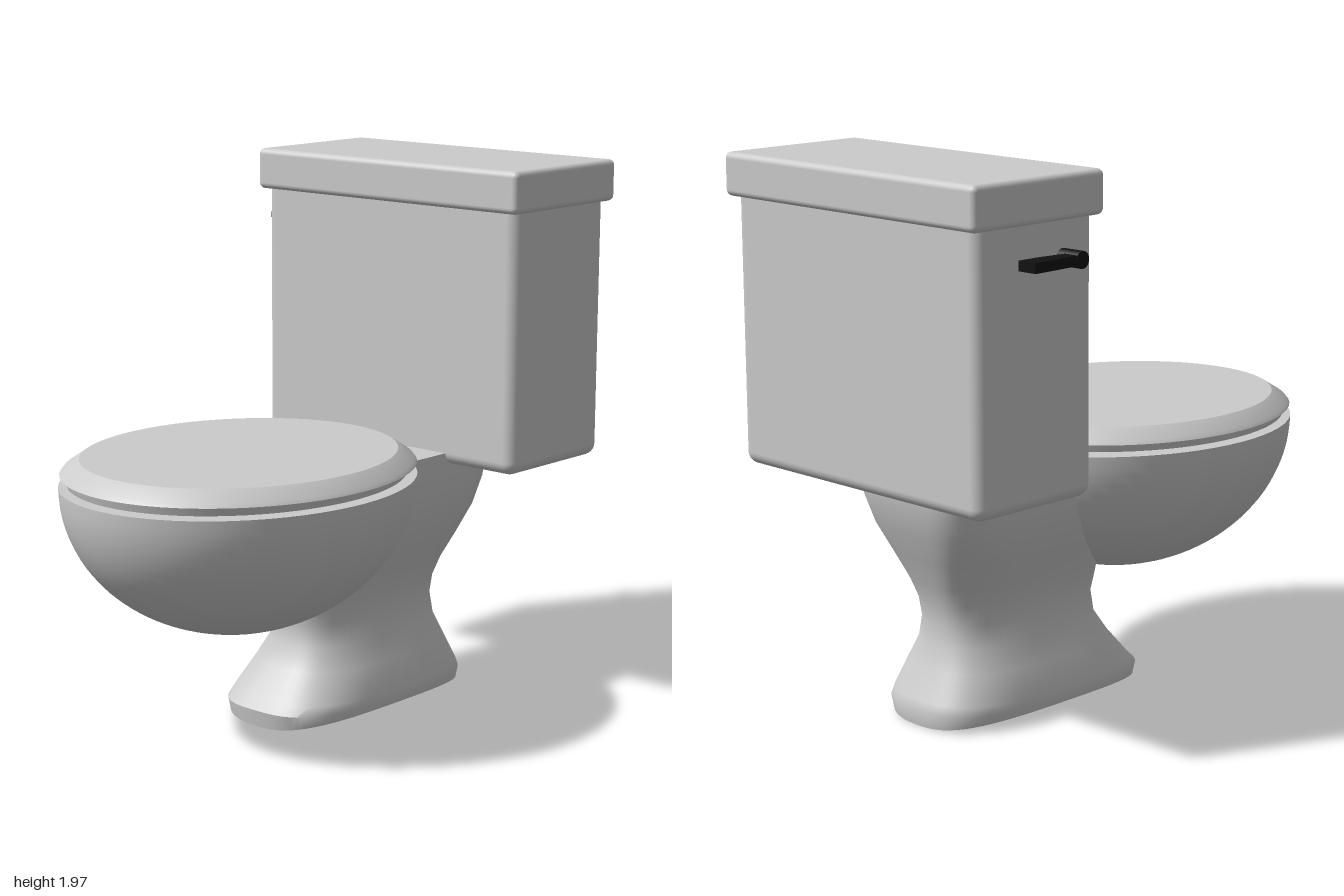
import * as THREE from 'three';
import { toCreasedNormals } from 'three/addons/utils/BufferGeometryUtils.js';
import { RoundedBoxGeometry } from 'three/addons/geometries/RoundedBoxGeometry.js';

const CX = 0.037; // the china is set slightly off centre because of the lever
const china = new THREE.MeshStandardMaterial({ color: 0xcccccc });
const black = new THREE.MeshStandardMaterial({ color: 0x111111 });

function part(name, geometry, material, x = 0, y = 0, z = 0) {
  const mesh = new THREE.Mesh(geometry, material);
  mesh.name = name;
  mesh.position.set(x, y, z);
  return mesh;
}

// Oval solid turned from a unit profile of [radius, y], stretched in x and z
function oval(profile, rx, rz) {
  const pts = profile.map(([r, y]) => new THREE.Vector2(r, y));
  const g = new THREE.LatheGeometry(pts, 64);
  g.scale(rx, 1, rz);
  return toCreasedNormals(g, 0.5);
}

// Pedestal lofted through superellipse sections
function pedestalGeometry() {
  // y, half width, front z, back z, squareness
  const levels = [
    [0.07, 0.275, 0.26, -0.715, 3],
    [0.10, 0.272, 0.225, -0.70, 3],
    [0.20, 0.235, 0.14, -0.655, 2.8],
    [0.28, 0.197, 0.09, -0.623, 2.7],
    [0.36, 0.18, 0.083, -0.615, 2.7],
    [0.43, 0.186, 0.10, -0.625, 2.8],
    [0.50, 0.205, 0.10, -0.65, 3],
    [0.60, 0.245, 0.08, -0.69, 3.5],
    [0.70, 0.277, 0.05, -0.735, 4],
    [0.80, 0.29, 0.02, -0.765, 4.5],
    [0.88, 0.29, 0, -0.775, 5],
    [0.934, 0.288, 0, -0.77, 5],
  ];
  const N = 64, pos = [], idx = [];
  const ring = ([y, w, f, b, e], scale = 1, underside = false) => {
    for (let j = 0; j < N; j++) {
      const t = (j / N) * Math.PI * 2, c = Math.cos(t), s = Math.sin(t);
      const u = Math.sign(c) * Math.abs(c) ** (2 / e) * scale;
      const v = Math.sign(s) * Math.abs(s) ** (2 / e) * scale;
      // the underside is gently bowed across its width
      pos.push(u * w, underside ? 0.008 + 0.04 * u * u : y, (f + b) / 2 + v * (f - b) / 2);
    }
  };
  for (const s of [0.01, 0.35, 0.7, 0.98]) ring(levels[0], s, true);
  levels.forEach((l) => ring(l));
  ring(levels[levels.length - 1], 0.01);
  const rows = pos.length / 3 / N;
  for (let i = 0; i < rows - 1; i++) {
    for (let j = 0; j < N; j++) {
      const k = (j + 1) % N;
      const a = i * N + j, b = i * N + k, c = a + N, d = b + N;
      idx.push(a, c, b, b, c, d);
    }
  }
  const g = new THREE.BufferGeometry();
  g.setAttribute('position', new THREE.Float32BufferAttribute(pos, 3));
  g.setIndex(idx);
  return toCreasedNormals(g, 0.9);
}

export function createModel() {
  const model = new THREE.Group();
  model.name = 'toilet';

  model.add(part('pedestal', pedestalGeometry(), china, CX));

  // Bowl: lower half of an ellipsoid, closed at the rim
  const bowl = [];
  for (let i = 0; i <= 24; i++) {
    const a = (i / 24) * Math.PI / 2;
    bowl.push([Math.sin(a), -0.538 * Math.cos(a)]);
  }
  bowl.push([0, 0]);
  model.add(part('bowl', oval(bowl, 0.573, 0.67), china, CX, 0.935, 0.33));

  // Seat and its bevelled cover
  const seat = [[0, 0.945], [0.985, 0.945], [1, 0.978], [0, 0.978]];
  model.add(part('seat', oval(seat, 0.552, 0.645), china, CX, 0, 0.335));
  const cover = [[0, 0.976], [1, 0.976], [0.985, 0.988], [0.892, 1.026], [0, 1.026]];
  model.add(part('seatCover', oval(cover, 0.572, 0.665), china, CX, 0, 0.328));

  // Cistern and lid
  model.add(part('tank', new RoundedBoxGeometry(1.18, 1.0, 0.525, 5, 0.045), china, CX, 1.39, -0.705));
  model.add(part('tankLid', new RoundedBoxGeometry(1.22, 0.15, 0.588, 4, 0.022), china, CX, 1.9, -0.706));

  // Flush lever on the right side of the tank
  const handle = new THREE.Group();
  handle.name = 'flushHandle';
  const pivot = new THREE.CylinderGeometry(0.029, 0.029, 0.1, 20);
  pivot.rotateZ(Math.PI / 2);
  handle.add(part('handlePivot', pivot, black, -0.592, 1.706, -0.59));
  const plan = new THREE.Shape([
    [-0.64, 0.58], [-0.59, 0.58], [-0.575, 0.73], [-0.575, 0.81], [-0.65, 0.81],
  ].map(([x, y]) => new THREE.Vector2(x, y)));
  const arm = new THREE.ExtrudeGeometry(plan, { depth: 0.034, bevelEnabled: false });
  arm.rotateX(-Math.PI / 2);
  handle.add(part('handleArm', arm, black, 0, 1.689, 0));
  model.add(handle);

  return model;
}
